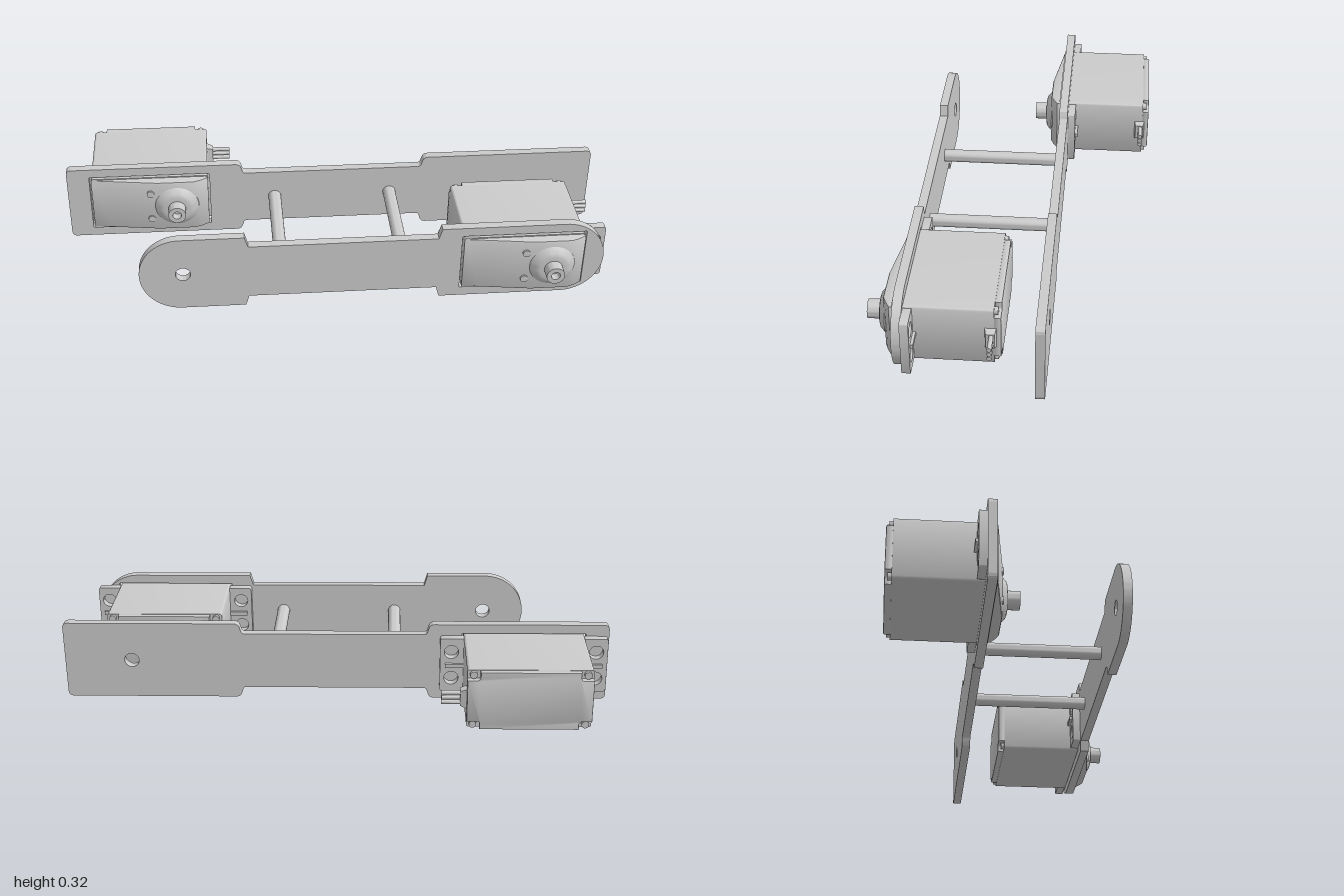
import * as THREE from 'three';
import { toCreasedNormals } from 'three/addons/utils/BufferGeometryUtils.js';

const material = new THREE.MeshStandardMaterial({ color: 0xcccccc });

function add(parent, name, geometry, x = 0, y = 0, z = 0) {
  const mesh = new THREE.Mesh(toCreasedNormals(geometry, 0.6), material);
  mesh.name = name;
  mesh.position.set(x, y, z);
  parent.add(mesh);
  return mesh;
}

const extrude = (shape, depth, bevel = 0) => new THREE.ExtrudeGeometry(shape, {
  depth: depth - 2 * bevel, bevelEnabled: bevel > 0, bevelThickness: bevel,
  bevelSize: bevel, bevelOffset: -bevel, bevelSegments: 2, curveSegments: 12,
}).translate(0, 0, bevel);

const rod = (radius, length, sides = 24) =>
  new THREE.CylinderGeometry(radius, radius, length, sides).rotateX(Math.PI / 2);

// Closed outline whose corners [x, y, radius] are rounded
function roundedOutline(corners) {
  const shape = new THREE.Shape();
  const v = corners.map(([x, y]) => new THREE.Vector2(x, y));
  corners.forEach(([, , r], i) => {
    const p = v[i], prev = v[(i + v.length - 1) % v.length], next = v[(i + 1) % v.length];
    const a = prev.clone().sub(p).setLength(r).add(p);
    const b = next.clone().sub(p).setLength(r).add(p);
    if (i) shape.lineTo(a.x, a.y); else shape.moveTo(a.x, a.y);
    if (r) shape.quadraticCurveTo(p.x, p.y, b.x, b.y);
  });
  shape.closePath();
  return shape;
}

function rectangle(cx, hx, hy, r) {
  return roundedOutline([[cx - hx, -hy, r], [cx + hx, -hy, r], [cx + hx, hy, r], [cx - hx, hy, r]]);
}

function circleHole(x, y, r) {
  return new THREE.Path().absarc(x, y, r, 0, Math.PI * 2, true);
}

// Link plate: wide ends, narrow waist, servo window and pivot hole
function plateGeometry(x0, x1, round, windowX, holeX) {
  const H = 0.148, W = 0.108, f = 0.018;
  const waist = (s) => [[-0.35, s * H, f], [-0.338, s * W, 0.01], [0.338, s * W, 0.01], [0.35, s * H, f]];
  let shape;
  if (round) {
    shape = new THREE.Shape();
    shape.moveTo(x0 + H, -H);
    waist(-1).forEach(([x, y]) => shape.lineTo(x, y));
    shape.absarc(x1 - H, 0, H, -Math.PI / 2, Math.PI / 2, false);
    waist(1).reverse().forEach(([x, y]) => shape.lineTo(x, y));
    shape.absarc(x0 + H, 0, H, Math.PI / 2, Math.PI * 1.5, false);
  } else {
    shape = roundedOutline([[x0, -H, 0.02], ...waist(-1), [x1, -H, 0.02],
      [x1, H, 0.02], ...waist(1).reverse(), [x0, H, 0.02]]);
  }
  shape.holes.push(rectangle(windowX, 0.225, 0.114, 0.005), circleHole(holeX, 0, 0.027));
  return new THREE.ExtrudeGeometry(shape, { depth: 0.032, bevelEnabled: false, curveSegments: 32 });
}

// Servo with its shaft pointing to +z, x measured from the middle of its case
function createServo() {
  const servo = new THREE.Group();
  const HX = 0.218, HY = 0.11, shaftX = 0.099;

  add(servo, 'case', extrude(rectangle(0, HX, HY, 0.01), 0.335), 0, 0, 0.028);

  // Rear cover with a notch and screw at each corner
  const nx = HX - 0.045, ny = HY - 0.03;
  const cover = roundedOutline([[-nx, -HY, 0], [nx, -HY, 0], [nx, -ny, 0.01], [HX, -ny, 0],
    [HX, ny, 0], [nx, ny, 0.01], [nx, HY, 0], [-nx, HY, 0], [-nx, ny, 0.01], [-HX, ny, 0],
    [-HX, -ny, 0], [-nx, -ny, 0.01]]);
  add(servo, 'rearCover', extrude(cover, 0.024, 0.004), 0, 0, 0.005);
  for (const sx of [-1, 1]) for (const sy of [-1, 1]) {
    add(servo, 'caseScrew', rod(0.013, 0.014, 16), sx * (HX - 0.022), sy * (HY - 0.015), 0.022);
  }

  // Mounting ears with two holes each
  for (const s of [-1, 1]) {
    const ear = rectangle(s * 0.258, 0.045, 0.105, 0.012);
    for (const y of [-0.052, 0.052]) ear.holes.push(circleHole(s * 0.262, y, 0.026));
    add(servo, 'mountingEar', extrude(ear, 0.03), 0, 0, 0.296);
    add(servo, 'earRib', new THREE.BoxGeometry(0.07, 0.014, 0.012), s * 0.25, 0, 0.292);
  }

  // Sloping front cover
  const profile = new THREE.Shape([[-HX, 0.34], [HX, 0.34], [HX, 0.372], [0.19, 0.388],
    [0.165, 0.398], [0.03, 0.398], [-0.15, 0.373], [-HX, 0.364]]
    .map(([x, z]) => new THREE.Vector2(x, z)));
  add(servo, 'frontCover', extrude(profile, 0.212, 0.008).rotateX(Math.PI / 2), 0, 0.106, 0);
  for (const y of [-0.056, 0.056]) {
    add(servo, 'coverPin', rod(0.014, 0.02, 16), 0.002, y, 0.39);
  }

  // Stepped boss and hollow output shaft
  const turned = [[0.085, 0.38], [0.082, 0.397], [0.062, 0.415], [0.05, 0.419], [0.033, 0.419],
    [0.033, 0.463], [0.016, 0.463], [0.016, 0.43], [0, 0.43]]
    .map(([r, z]) => new THREE.Vector2(r, z));
  add(servo, 'outputShaft', new THREE.LatheGeometry(turned, 40).rotateX(Math.PI / 2), shaftX);

  // Cable strain relief and three wires
  const relief = new THREE.CylinderGeometry(0.021, 0.028, 0.025, 4, 1).rotateY(Math.PI / 4)
    .rotateZ(-Math.PI / 2).scale(1, 1.9, 1);
  add(servo, 'cableRelief', relief, HX + 0.01, 0, 0.04);
  for (const y of [-0.018, 0, 0.018]) {
    const wire = new THREE.CylinderGeometry(0.008, 0.008, 0.1, 12).rotateZ(Math.PI / 2);
    add(servo, 'wire', wire, HX + 0.038, y, 0.037);
  }
  return servo;
}

export function createModel() {
  const model = new THREE.Group();
  model.name = 'robotArmLink';
  const arm = new THREE.Group();
  arm.name = 'arm';
  arm.position.y = 0.163;
  arm.rotation.z = -0.0125;
  model.add(arm);

  // Two parallel link plates
  add(arm, 'frontPlate', plateGeometry(-0.725, 0.945, true, 0.648, -0.57), 0, 0, 0.325);
  add(arm, 'backPlate', plateGeometry(-0.998, 0.998, false, -0.69, 0.75), 0, 0, -0.147);

  // Spacer rods between the plates
  for (const x of [-0.22, 0.22]) add(arm, 'spacerRod', rod(0.024, 0.45), x, 0, 0.105);

  // One servo per plate
  for (const [name, x, z] of [['frontServo', 0.648, 0], ['backServo', -0.69, -0.471]]) {
    const servo = createServo();
    servo.name = name;
    servo.position.set(x, 0, z);
    arm.add(servo);
  }
  return model;
}
